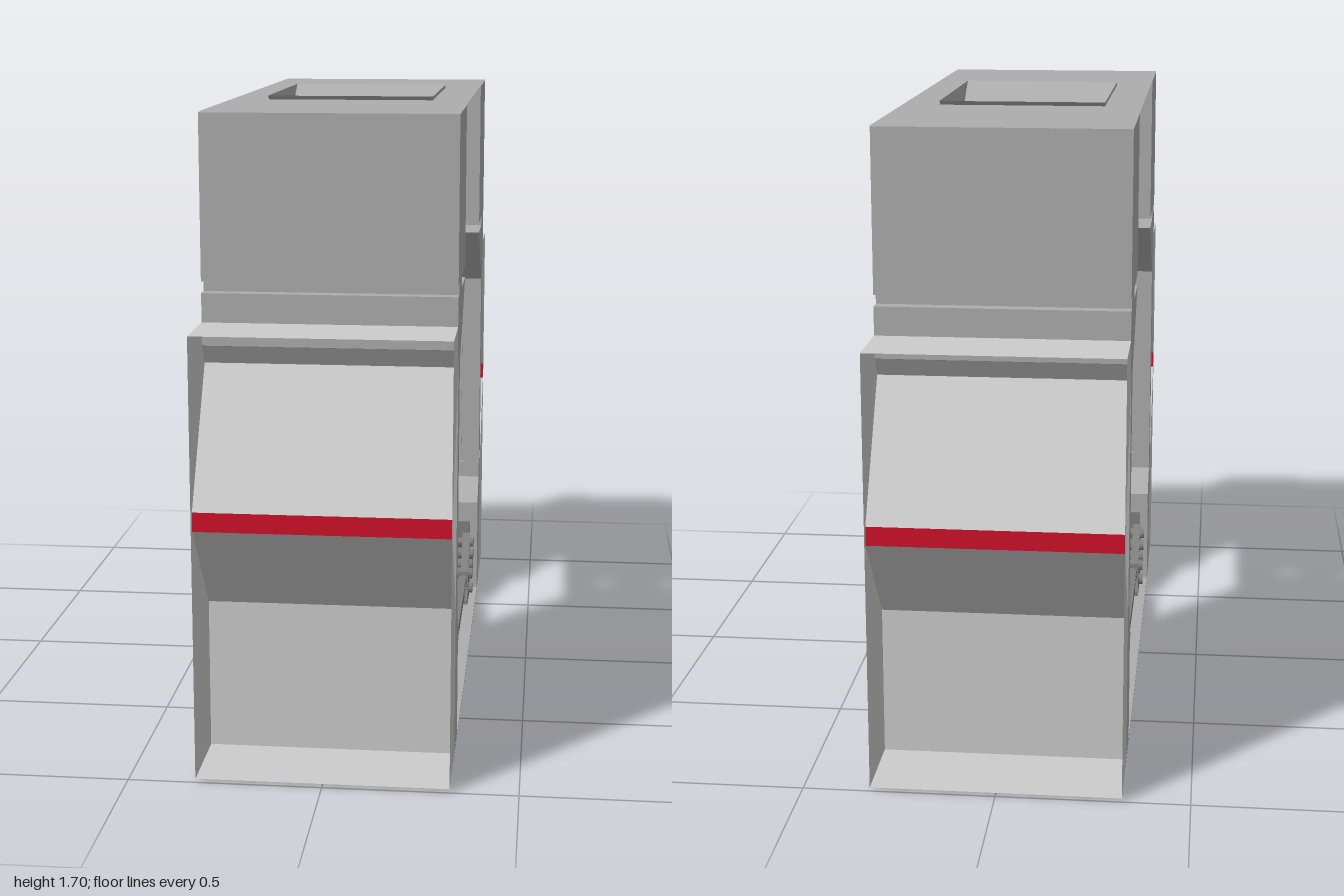
import * as THREE from 'three';

const W = 0.65, H = W / 2;
const mat = (color) => new THREE.MeshStandardMaterial({ color, side: THREE.DoubleSide, flatShading: true });
const light = mat(0xcccccc), grey = mat(0xadadad), dark = mat(0x808080), red = mat(0xd01028);

function add(parent, name, geometry, material, x = 0, y = 0, z = 0) {
  const mesh = new THREE.Mesh(geometry, material);
  mesh.name = name;
  mesh.position.set(x, y, z);
  parent.add(mesh);
  return mesh;
}

// box given by its limits on each axis
function block(parent, name, material, [x0, x1], [y0, y1], [z0, z1]) {
  return add(parent, name, new THREE.BoxGeometry(x1 - x0, y1 - y0, z1 - z0), material,
    (x0 + x1) / 2, (y0 + y1) / 2, (z0 + z1) / 2);
}

const outline = (pts) => new THREE.Shape(pts.map(([a, b]) => new THREE.Vector2(a, b)));

function rect(w, y0, y1) {
  return [[-w, y0], [w, y0], [w, y1], [-w, y1]];
}

// (z, y) profile extruded across x, centred
function slab(pts, width) {
  const g = new THREE.ExtrudeGeometry(outline(pts), { depth: width, bevelEnabled: false });
  return g.rotateY(-Math.PI / 2).translate(width / 2, 0, 0);
}

// flat side sheet from a (z, y) outline
const sheet = (pts) => new THREE.ShapeGeometry(outline(pts)).rotateY(-Math.PI / 2);

// open sheet following a (z, y) path across x
function strip(pts, half) {
  const p = [];
  for (let i = 0; i < pts.length - 1; i++) {
    const [z0, y0] = pts[i], [z1, y1] = pts[i + 1];
    p.push(-half, y0, z0, -half, y1, z1, half, y1, z1, -half, y0, z0, half, y1, z1, half, y0, z0);
  }
  const g = new THREE.BufferGeometry();
  g.setAttribute('position', new THREE.Float32BufferAttribute(p, 3));
  g.computeVertexNormals();
  return g;
}

function createPod(tower) {
  const pod = new THREE.Group();
  pod.name = 'outerPod';
  tower.add(pod);
  // side sheets with the notch behind the pointed panel
  const side = [[0.77, 0.01], [1, 0.01], [1, 1.16], [0.805, 1.16], [0.805, 1.1], [0.77, 1.05],
    [0.98, 0.71], [0.98, 0.66], [0.77, 0.41]];
  for (const s of [-1, 1]) add(pod, 'podSide', sheet(side), light, s * H);
  add(pod, 'podTop', strip([[0.805, 1.16], [1, 1.16]], H), light);
  add(pod, 'upperPanel', strip([[0.807, 1.1], [0.772, 1.05], [0.98, 0.71]], H), light);
  add(pod, 'redStripe', strip([[0.98, 0.71], [0.98, 0.66]], H), red);
  add(pod, 'lowerPanel', strip([[0.98, 0.66], [0.772, 0.41], [0.772, 0.01], [1, 0.01]], H), light);
}

function createRollers(tower) {
  const stand = new THREE.Group();
  stand.name = 'rollerStand';
  tower.add(stand);
  const bracket = [[0.62, 0.005], [0.62, 0.2], [0.605, 0.21], [0.49, 0.11], [0.485, 0.05], [0.468, 0.02], [0.468, 0.005]];
  for (const s of [-1, 1]) add(stand, 'bracket', slab(bracket, 0.025), dark, s * 0.29);
  // bars across the slope, each with end knobs
  const bars = [[0.597, 0.18, 0.014], [0.572, 0.148, 0.016], [0.545, 0.12, 0.016], [0.512, 0.1, 0.016], [0.53, 0.045, 0.016]];
  for (const [z, y, r] of bars) {
    add(stand, 'roller', new THREE.CylinderGeometry(r * 0.75, r * 0.75, 0.56, 10).rotateZ(Math.PI / 2), dark, 0, y, z);
    for (const s of [-1, 1]) {
      add(stand, 'knob', new THREE.CylinderGeometry(r * 1.1, r * 1.1, 0.05, 12).rotateZ(Math.PI / 2), dark, s * 0.29, y, z);
    }
  }
}

function createTower(facing) {
  const tower = new THREE.Group();
  tower.name = facing > 0 ? 'frontTower' : 'backTower';
  if (facing < 0) tower.rotation.y = Math.PI;

  // column with console ledge, screen wall and overhanging visor
  add(tower, 'column', slab([[0.77, 0.01], [0.64, 0.01], [0.64, 0.27], [0.62, 0.27], [0.62, 0.31], [0.695, 0.38],
    [0.71, 0.38], [0.71, 1.05], [0.695, 1.05], [0.64, 1.1], [0.625, 1.1], [0.46, 1.233], [0.64, 1.233],
    [0.64, 1.265], [0.77, 1.265], [0.77, 1.235], [0.805, 1.235], [0.805, 1.1], [0.77, 1.05]], W), grey);

  // raised frame round the screen
  const frame = outline(rect(H, 0.38, 1.05));
  frame.holes.push(outline(rect(0.275, 0.43, 1.01)));
  add(tower, 'screenFrame', new THREE.ExtrudeGeometry(frame, { depth: 0.015, bevelEnabled: false }), grey, 0, 0, 0.695);
  block(tower, 'screen', grey, [-0.265, 0.265], [0.44, 1], [0.704, 0.712]);

  // round button on the sloping console
  const button = add(tower, 'consoleButton', new THREE.CylinderGeometry(0.027, 0.027, 0.008, 20), grey, -0.2 * facing, 0.345, 0.6575);
  button.rotation.x = -Math.atan2(0.075, 0.07);
  block(tower, 'kickPlate', dark, [-0.3, 0.3], [0.13, 0.24], [0.634, 0.641]);

  // upper cabinet with three inner doors
  block(tower, 'upperCabinet', grey, [-H, H], [1.265, 1.688], [0.49, 0.805]);
  for (const i of [-1, 0, 1]) {
    block(tower, 'cabinetDoor', grey, [i * 0.225 - 0.1, i * 0.225 + 0.1], [1.265, 1.688], [0.46, 0.49]);
  }
  createPod(tower);
  createRollers(tower);
  return tower;
}

function createRoof() {
  const roof = new THREE.Group();
  roof.name = 'roof';
  const panel = outline(rect(H, -0.805, 0.805));
  panel.holes.push(outline(rect(0.225, -0.3, 0.3)));
  add(roof, 'roofPanel', new THREE.ShapeGeometry(panel).rotateX(-Math.PI / 2), grey, 0, 1.69);
  // sunken well with sloping ends
  const well = [[-0.3, 1.7], [-0.18, 1.62], [0.18, 1.62], [0.3, 1.7]];
  add(roof, 'wellFloor', strip(well, 0.225), grey);
  for (const s of [-1, 1]) add(roof, 'wellSide', sheet(well), grey, s * 0.225);
  block(roof, 'hatch', grey, [-0.2, 0.2], [1.62, 1.626], [-0.17, 0.17]);
  return roof;
}

function createStage() {
  const stage = new THREE.Group();
  stage.name = 'stage';
  block(stage, 'platform', dark, [-0.3, 0.3], [0.09, 0.12], [-0.3, 0.3]);
  for (const s of [-1, 1]) {
    // ribbed step and its lip
    add(stage, 'stepPlate', new THREE.BoxGeometry(0.6, 0.006, 0.12), dark, 0, 0.108, s * 0.36);
    add(stage, 'stepLip', new THREE.BoxGeometry(0.6, 0.025, 0.022), dark, 0, 0.0975, s * 0.419);
    for (let i = 0; i < 15; i++) {
      add(stage, 'stepRib', new THREE.BoxGeometry(0.024, 0.012, 0.12), dark, -0.287 + i * 0.041, 0.114, s * 0.36);
    }
  }
  return stage;
}

export function createModel() {
  const model = new THREE.Group();
  model.name = 'archCabinet';
  model.add(createTower(1), createTower(-1), createRoof(), createStage());
  block(model, 'basePlate', grey, [-H, H], [0, 0.006], [-0.805, 0.805]);
  return model;
}
